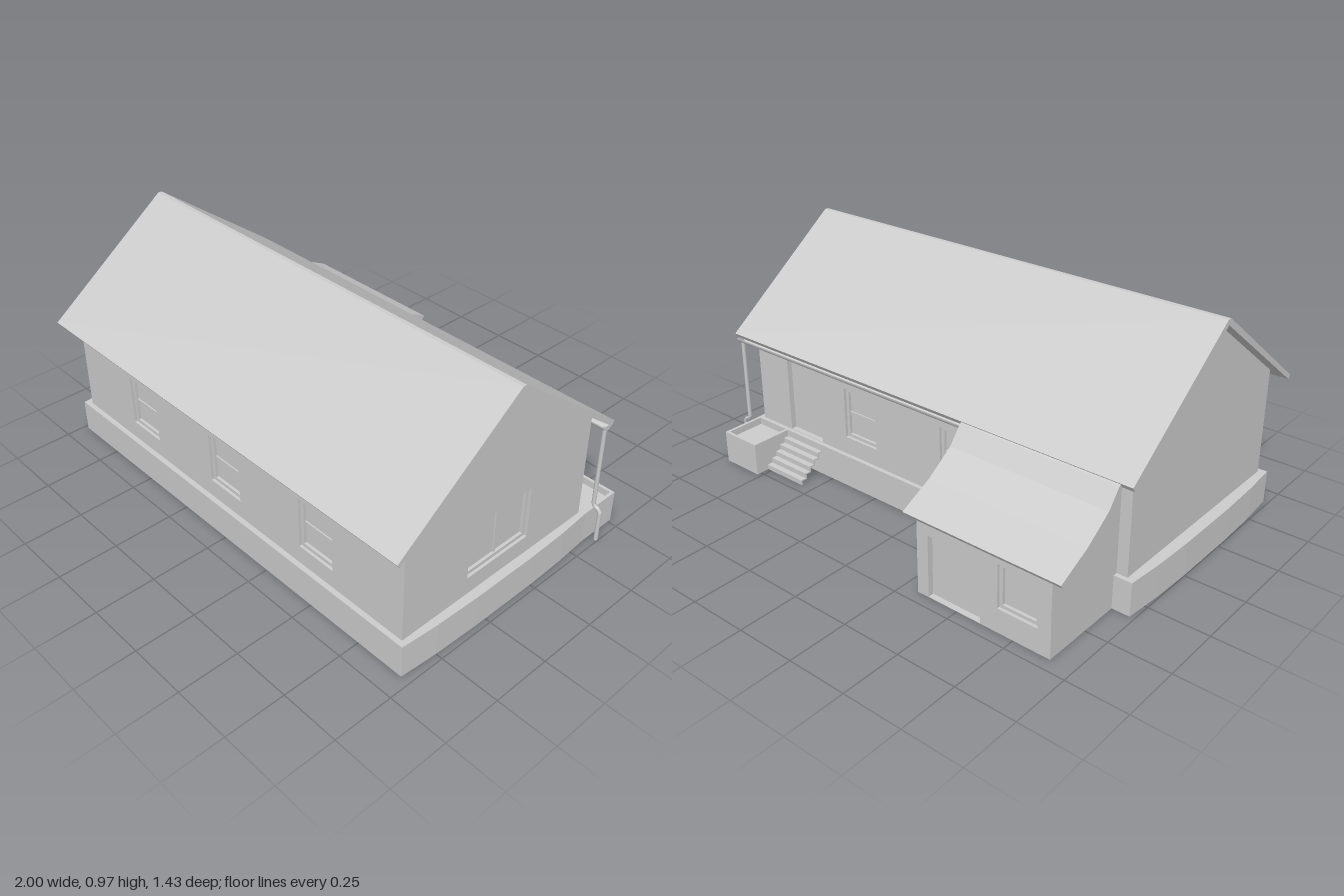
import * as THREE from 'three';

const grey = new THREE.MeshStandardMaterial({ color: 0xcccccc, flatShading: true });
const thin = new THREE.MeshStandardMaterial({ color: 0xcccccc, flatShading: true, side: THREE.DoubleSide });
const smooth = new THREE.MeshStandardMaterial({ color: 0xcccccc, side: THREE.DoubleSide });

function add(parent, name, geometry, material = grey) {
  const mesh = new THREE.Mesh(geometry, material);
  mesh.name = name;
  parent.add(mesh);
  return mesh;
}

// Box given by its limits on each axis
function box(parent, name, x0, x1, y0, y1, z0, z1) {
  const g = new THREE.BoxGeometry(x1 - x0, y1 - y0, z1 - z0);
  g.translate((x0 + x1) / 2, (y0 + y1) / 2, (z0 + z1) / 2);
  return add(parent, name, g);
}

const toPoints = (list) => list.map(([a, b]) => new THREE.Vector2(a, b));
const rect = ([a0, a1, b0, b1]) => [[a0, b0], [a1, b0], [a1, b1], [a0, b1]];

// Holes must run counter-clockwise
function extrude(outline, holes, depth) {
  const shape = new THREE.Shape(toPoints(outline));
  holes.forEach((h) => shape.holes.push(new THREE.Path(toPoints(h))));
  return new THREE.ExtrudeGeometry(shape, { depth, bevelEnabled: false });
}

// Profile in (z, y), swept from x0 to x1
function alongX(outline, x0, x1, holes = []) {
  return extrude(outline, holes, x1 - x0).rotateY(-Math.PI / 2).translate(x1, 0, 0);
}

// Profile in (x, y), swept from z0 to z1
function alongZ(outline, z0, z1, holes = []) {
  return extrude(outline, holes, z1 - z0).translate(0, 0, z0);
}

// Plan in (x, z), swept from y0 to y1
function alongY(outline, y0, y1, holes = []) {
  return extrude(outline, holes, y1 - y0).rotateX(Math.PI / 2).translate(0, y1, 0);
}

// Framed window or door filling an opening; it faces local +z, wall face at z = 0
function fitting(parent, name, w, h, kind) {
  const g = new THREE.Group();
  g.name = name;
  const W = w / 2, H = h / 2, f = 0.014;
  box(g, kind === 'door' ? 'doorLeaf' : 'pane', -W, W, -H, H, -0.03, -0.024);
  const frame = alongZ(rect([-W, W, -H, H]), -0.024, -0.012, [rect([-W + f, W - f, -H + f, H - f])]);
  if (kind !== 'door') add(g, 'frame', frame);
  if (kind === 'sash') box(g, 'meetingRail', -W + f, W - f, -0.005, 0.005, -0.024, -0.018);
  if (kind === 'slider') box(g, 'mullion', -0.005, 0.005, -H + f, H - f, -0.024, -0.018);
  parent.add(g);
  return g;
}

// Fill openings [x0, x1, y0, y1, kind] of a wall whose outer face lies at z
function fillOpenings(parent, openings, z, back) {
  openings.forEach(([x0, x1, y0, y1, kind]) => {
    const g = fitting(parent, kind === 'door' ? 'door' : 'window', x1 - x0, y1 - y0, kind);
    g.position.set((x0 + x1) / 2, (y0 + y1) / 2, z);
    if (back) g.rotation.y = Math.PI;
  });
}
const holesOf = (openings) => openings.map((o) => rect(o.slice(0, 4)));

export function createModel() {
  const house = new THREE.Group();
  house.name = 'house';

  // Hollow foundation with gently bowed ends, and the floor above it
  const plan = [[-0.98, 0.66], [0.96, 0.66], [0.971, 0.5], [0.976, 0.3], [0.976, 0], [0.971, -0.18], [0.96, -0.335],
    [-0.98, -0.335], [-0.992, -0.18], [-0.998, 0], [-0.998, 0.3], [-0.992, 0.5]];
  const inner = plan.map(([x, z]) => [x * 0.997, 0.16 + (z - 0.16) * 0.994]).reverse();
  add(house, 'foundation', alongY(plan, 0, 0.14, [inner]));
  add(house, 'floor', alongY(inner, 0.134, 0.14));

  // Inner partitions, their feet showing under the floor
  [[-0.32, 0.46, 0.325, 0.337], [-0.93, -0.55, 0.335, 0.347], [0.448, 0.46, -0.19, 0.325],
    [0.37, 0.52, -0.23, -0.218], [-0.086, -0.074, 0.18, 0.325], [-0.086, -0.074, -0.155, -0.03]]
    .forEach(([x0, x1, z0, z1]) => box(house, 'partition', x0, x1, 0.1, 0.59, z0, z1));

  // Long walls
  const frontOpenings = [-0.525, -0.007, 0.506].map((x) => [x - 0.088, x + 0.088, 0.218, 0.438, 'sash']);
  add(house, 'frontWall', alongZ(rect([-0.95, 0.938, 0.14, 0.592]), 0.608, 0.638, holesOf(frontOpenings)));
  fillOpenings(house, frontOpenings, 0.638, false);
  const backOpenings = [[0.25, 0.425, 0.218, 0.438, 'sash'], [-0.265, -0.09, 0.218, 0.438, 'sash'],
    [0.57, 0.762, 0.142, 0.48, 'door']];
  add(house, 'backWall', alongZ(rect([-0.95, 0.938, 0.14, 0.592]), -0.317, -0.287, holesOf(backOpenings)));
  fillOpenings(house, backOpenings, -0.317, true);

  // Gable walls, the left one with a wide window
  const gable = [[0.638, 0.14], [0.638, 0.592], [0.155, 0.948], [-0.317, 0.592], [-0.317, 0.14]];
  add(house, 'rightGable', alongX(gable, -0.95, -0.92));
  add(house, 'leftGable', alongX(gable, 0.908, 0.938, [rect([0, 0.32, 0.215, 0.44])]));
  const sideWindow = fitting(house, 'sideWindow', 0.32, 0.225, 'slider');
  sideWindow.position.set(0.938, 0.3275, 0.16);
  sideWindow.rotation.y = Math.PI / 2;

  // Main roof with a flat ridge
  add(house, 'mainRoof', alongX([[0.716, 0.557], [0.165, 0.968], [0.148, 0.968], [-0.402, 0.555], [-0.39, 0.536],
    [0.155, 0.945], [0.705, 0.541]], -1, 0.98));

  // Rear annex under a swept roof
  add(house, 'annexRoof', alongX([[-0.385, 0.563], [-0.405, 0.546], [-0.46, 0.476], [-0.575, 0.395], [-0.716, 0.325],
    [-0.706, 0.309], [-0.58, 0.373], [-0.453, 0.458], [-0.385, 0.538]], -0.95, -0.268));
  const annexSide = [[-0.317, 0], [-0.317, 0.59], [-0.388, 0.538], [-0.453, 0.461], [-0.58, 0.376], [-0.698, 0.315],
    [-0.698, 0]];
  add(house, 'annexRightWall', alongX(annexSide, -0.905, -0.893));
  add(house, 'annexLeftWall', alongX(annexSide, -0.329, -0.317));
  const annexOpenings = [[-0.605, -0.368, 0.002, 0.26, 'door'], [-0.85, -0.68, 0.1, 0.28, 'pane']];
  add(house, 'annexBackWall', alongZ(rect([-0.905, -0.317, 0, 0.315]), -0.698, -0.668, holesOf(annexOpenings)));
  fillOpenings(house, annexOpenings, -0.698, true);

  // Porch tray with a raised rim
  const porch = new THREE.Group();
  porch.name = 'porch';
  house.add(porch);
  box(porch, 'porchFloor', 0.78, 0.95, 0.1, 0.11, -0.505, -0.325);
  box(porch, 'backRim', 0.77, 0.96, 0, 0.14, -0.518, -0.505);
  box(porch, 'leftRim', 0.947, 0.96, 0, 0.14, -0.505, -0.325);
  box(porch, 'rightRim', 0.77, 0.783, 0, 0.14, -0.505, -0.325);

  // Folded stairs leading from the back door down to the rear
  const count = 5, run = 0.125 / count, rise = 0.11 / count;
  const top = [], under = [];
  for (let i = 0; i < count; i++) {
    const z = -0.458 + i * run, y = i * rise;
    top.push([z, y], [z, y + rise]);
    under.push([z + 0.006, Math.max(0, y - 0.006)], [z + 0.006, y + rise - 0.006]);
  }
  top.push([-0.333, 0.11]);
  under.push([-0.333, 0.104]);
  add(house, 'stairs', alongX([...top, ...under.reverse()], 0.56, 0.77));

  // Half-round gutter under the back eave
  const gutter = new THREE.CylinderGeometry(0.023, 0.023, 1.24, 12, 1, true, 0, Math.PI);
  gutter.rotateZ(-Math.PI / 2).translate(0.35, 0.537, -0.38);
  add(house, 'gutter', gutter, smooth);
  for (const x of [-0.27, 0.97]) {
    const cap = new THREE.CircleGeometry(0.023, 12, Math.PI, Math.PI);
    cap.rotateY(Math.PI / 2).translate(x, 0.537, -0.38);
    add(house, 'gutterCap', cap, thin);
  }

  // Downpipe, stepping out around the foundation
  const path = new THREE.CurvePath();
  const stops = [[0.958, 0.52], [0.958, 0.165], [0.966, 0.152], [0.982, 0.146], [0.99, 0.133], [0.99, 0]]
    .map(([x, y]) => new THREE.Vector3(x, y, -0.382));
  for (let i = 1; i < stops.length; i++) path.add(new THREE.LineCurve3(stops[i - 1], stops[i]));
  add(house, 'downpipe', new THREE.TubeGeometry(path, 80, 0.0085, 8, false), smooth);

  return house;
}
